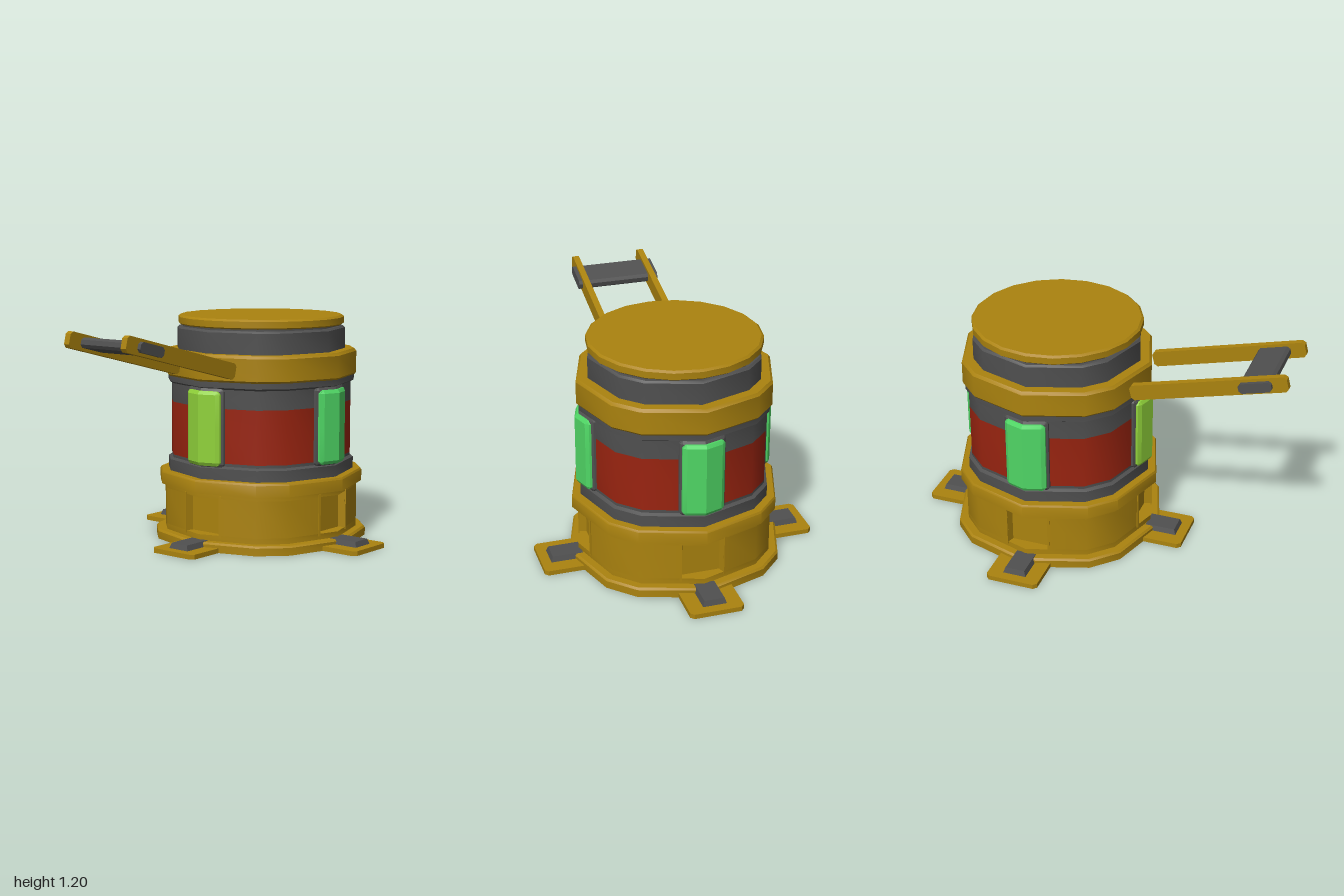
import * as THREE from 'three';
import { toCreasedNormals } from 'three/addons/utils/BufferGeometryUtils.js';

const mat = (name, color) => {
  const m = new THREE.MeshStandardMaterial({ color });
  m.name = name;
  return m;
};

// Corner angles of the irregular twelve-sided body, repeated every quarter turn
const ANGLES = [0, 36, 54];
const cornerAngle = (i) => THREE.MathUtils.degToRad(Math.floor(i / 3) * 90 + ANGLES[i % 3]);

// Twelve-sided turned part from [radius, y] pairs, bottom to top
function turned(profile) {
  const g = new THREE.LatheGeometry(profile.map(([r, y]) => new THREE.Vector2(r, y)), 12);
  const p = g.attributes.position;
  for (let k = 0; k < p.count; k++) {
    const r = Math.hypot(p.getX(k), p.getZ(k));
    const i = (Math.round(Math.atan2(p.getX(k), p.getZ(k)) / (Math.PI / 6)) + 12) % 12;
    p.setX(k, r * Math.sin(cornerAngle(i)));
    p.setZ(k, r * Math.cos(cornerAngle(i)));
  }
  return toCreasedNormals(g, 0.65);
}

// Bevelled plate folded round a body corner; front ridge at radius r
function foldedPlate(halfW, halfH, depth, r, bevel) {
  const g = new THREE.BoxGeometry(2, 2, 1, 4, 4, 1);
  const p = g.attributes.position;
  const spread = (t, half) => Math.abs(t) > 0.9 ? Math.sign(t) * half
    : Math.abs(t) > 0.1 ? Math.sign(t) * (half - bevel) : 0;
  for (let k = 0; k < p.count; k++) {
    const ex = Math.abs(p.getX(k)) > 0.9, ey = Math.abs(p.getY(k)) > 0.9;
    const front = p.getZ(k) > 0;
    let x = spread(p.getX(k), halfW), y = spread(p.getY(k), halfH);
    if (ex && ey) {
      x -= Math.sign(x) * bevel * 0.4;
      y -= Math.sign(y) * bevel * 0.4;
    }
    const z = (front ? r - (ex || ey ? bevel * 0.6 : 0) : r - depth) - Math.abs(x) * Math.tan(Math.PI / 10);
    p.setXYZ(k, x, y, z);
  }
  return toCreasedNormals(g, 0.3);
}

// Twelve-sided wall with a flat-backed niche cut at each quarter turn
function nichedWall(r, y0, y1, halfW, back) {
  const pts = [];
  const slope = Math.tan(Math.PI / 10);
  for (let q = 0; q < 4; q++) {
    const a = q * Math.PI / 2;
    const lip = r - halfW * slope, inner = halfW - 0.012;
    const local = [[-halfW, lip], [-inner, back], [inner, back], [halfW, lip]];
    for (const d of [36, 54]) {
      const t = THREE.MathUtils.degToRad(d);
      local.push([r * Math.sin(t), r * Math.cos(t)]);
    }
    for (const [u, v] of local) {
      pts.push(new THREE.Vector2(u * Math.cos(a) + v * Math.sin(a), -u * Math.sin(a) + v * Math.cos(a)));
    }
  }
  const g = new THREE.ExtrudeGeometry(new THREE.Shape(pts), { depth: y1 - y0, bevelEnabled: false });
  g.rotateX(Math.PI / 2).translate(0, y1, 0);
  return toCreasedNormals(g, 0.65);
}

// Box with its top face drawn in
function taperedBlock(w, h, d, inset) {
  const g = new THREE.BoxGeometry(w, h, d);
  const p = g.attributes.position;
  for (let k = 0; k < p.count; k++) {
    if (p.getY(k) < 0) continue;
    p.setX(k, p.getX(k) - Math.sign(p.getX(k)) * inset);
    p.setZ(k, p.getZ(k) - Math.sign(p.getZ(k)) * inset);
  }
  g.computeVertexNormals();
  return g;
}

// Chamfered outline extruded with thickness t, centred on its depth
function chamferedSlab(w, h, c, t) {
  const x = w / 2, y = h / 2;
  const s = new THREE.Shape([[-x + c, -y], [x - c, -y], [x, -y + c], [x, y - c],
    [x - c, y], [-x + c, y], [-x, y - c], [-x, -y + c]].map(([a, b]) => new THREE.Vector2(a, b)));
  return new THREE.ExtrudeGeometry(s, { depth: t, bevelEnabled: false }).translate(0, 0, -t / 2);
}

export function createModel() {
  const gold = mat('gold', 0xab830f);
  const grey = mat('dark grey', 0x505050);
  const red = mat('red', 0x9a2410);
  const green = mat('green', 0x50d866);
  const lime = mat('lime', 0x90d23a);

  const model = new THREE.Group();
  const drum = new THREE.Group();
  drum.name = 'drum';
  drum.position.z = -0.27;
  model.add(drum);
  const add = (parent, name, geo, material, x = 0, y = 0, z = 0) => {
    const m = new THREE.Mesh(geo, material);
    m.name = name;
    m.position.set(x, y, z);
    parent.add(m);
    return m;
  };

  // Base
  add(drum, 'basePlate', turned([[0, 0], [0.57, 0], [0.57, 0.04], [0.56, 0.05], [0.52, 0.05], [0.52, 0.08], [0, 0.08]]), gold);
  add(drum, 'baseWall', nichedWall(0.52, 0.08, 0.275, 0.11, 0.45), gold);
  add(drum, 'baseFlange', turned([[0, 0.275], [0.52, 0.275], [0.52, 0.3], [0.547, 0.3], [0.547, 0.36],
    [0.54, 0.37], [0.48, 0.37]]), gold);

  // Body bands
  add(drum, 'lowerBody', turned([[0.5, 0.37], [0.5, 0.43], [0.483, 0.44], [0.483, 0.455]]), grey);
  add(drum, 'redBand', turned([[0.483, 0.455], [0.483, 0.74]]), red);
  add(drum, 'upperBody', turned([[0.483, 0.74], [0.483, 0.84], [0.5, 0.85], [0.5, 0.88]]), grey);
  add(drum, 'upperRing', turned([[0.48, 0.88], [0.503, 0.88], [0.512, 0.89], [0.512, 1.005], [0.5, 1.02], [0.43, 1.02]]), gold);

  // Neck and lid
  add(drum, 'neck', turned([[0.45, 1.01], [0.45, 1.13], [0.44, 1.14], [0.425, 1.14], [0.425, 1.155]]), grey);
  const lid = new THREE.LatheGeometry([[0, 1.15], [0.435, 1.15], [0.445, 1.157], [0.445, 1.19], [0.433, 1.2], [0, 1.2]]
    .map(([r, y]) => new THREE.Vector2(r, y)), 20);
  add(drum, 'lid', toCreasedNormals(lid, 0.5), gold);

  // Window and foot on each of the four sides
  ['front', 'left', 'back', 'right'].forEach((side, q) => {
    const g = new THREE.Group();
    g.name = side + 'Side';
    g.rotation.y = q * Math.PI / 2;
    drum.add(g);
    add(g, 'windowFrame', foldedPlate(0.118, 0.205, 0.05, 0.503, 0.015), grey, 0, 0.64);
    add(g, 'window', foldedPlate(0.108, 0.195, 0.06, 0.522, 0.018), q === 0 ? lime : green, 0, 0.637);
    add(g, 'foot', chamferedSlab(0.28, 0.33, 0.018, 0.025).rotateX(-Math.PI / 2), gold, 0, 0.0125, 0.565);
    add(g, 'footPad', taperedBlock(0.125, 0.03, 0.18, 0.01), grey, 0, 0.038, 0.59);
    // Raised border round the niche
    for (const s of [-1, 1]) {
      const post = add(g, 'nichePost', new THREE.BoxGeometry(0.012, 0.22, 0.012), gold, s * 0.116, 0.178, 0.482);
      post.rotation.y = s * Math.PI / 10;
    }
  });

  // Handle: two arms and a grip, tilted upward to the front
  const handle = new THREE.Group();
  handle.name = 'handle';
  handle.position.set(0, 1.04, 0.595);
  handle.rotation.x = -0.245;
  model.add(handle);
  for (const s of [-1, 1]) {
    add(handle, s < 0 ? 'rightArm' : 'leftArm',
      chamferedSlab(0.825, 0.082, 0.015, 0.034).rotateY(Math.PI / 2), gold, s * 0.188);
  }
  add(handle, 'grip', chamferedSlab(0.17, 0.052, 0.014, 0.45).rotateY(Math.PI / 2), grey, 0, 0, 0.25);

  return model;
}
